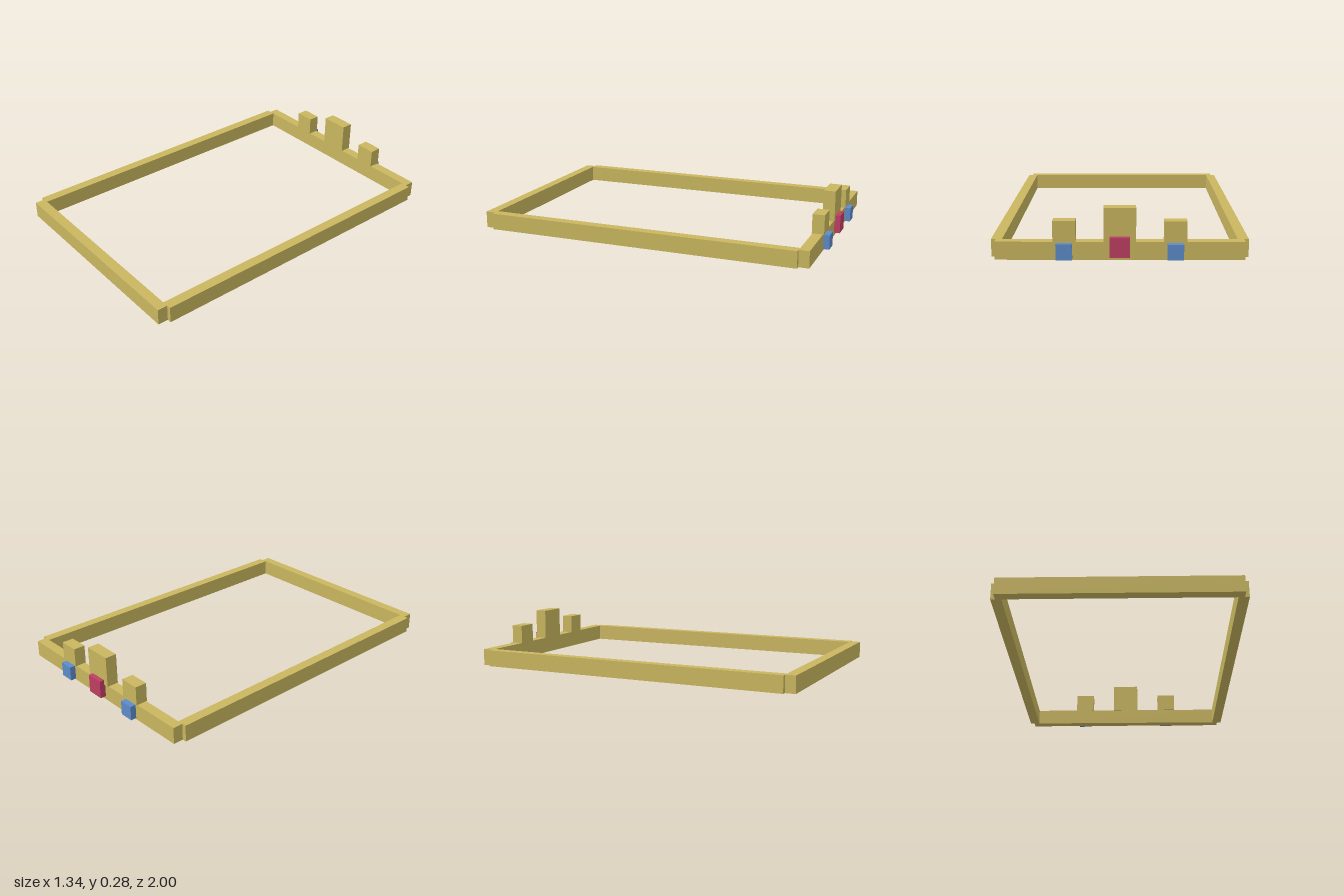
import * as THREE from 'three';

export function createModel() {
  const model = new THREE.Group();
  const mat = (name, color) => new THREE.MeshStandardMaterial({ name, color });
  const gold = mat('gold', 0xc9b65f);
  const blue = mat('blue gem', 0x5c8bc9);
  const red = mat('red gem', 0xbe3e63);

  // Box given by its extents along each axis
  function box(name, material, [x0, x1], [y0, y1], [z0, z1]) {
    const mesh = new THREE.Mesh(new THREE.BoxGeometry(x1 - x0, y1 - y0, z1 - z0), material);
    mesh.position.set((x0 + x1) / 2, (y0 + y1) / 2, (z0 + z1) / 2);
    mesh.name = name;
    model.add(mesh);
  }

  // Rectangular band: front and back bars, with side bars set slightly outward
  const H = 0.096;
  box('frontBar', gold, [-0.646, 0.646], [0, H], [0.941, 1]);
  box('backBar', gold, [-0.646, 0.646], [0, H], [-0.966, -0.907]);
  for (const [side, s] of [['left', 1], ['right', -1]]) {
    const span = (a, b) => (s > 0 ? [a, b] : [-b, -a]);
    box(side + 'Bar', gold, span(0.613, 0.671), [0, H], [-0.907, 0.941]);
    // Small crest block with its blue gem
    box(side + 'Crest', gold, span(0.228, 0.346), [H, 0.206], [-0.972, -0.903]);
    box(side + 'Gem', blue, span(0.245, 0.329), [0.007, 0.09], [-1, -0.96]);
  }

  // Tall central crest with its red gem
  box('centreCrest', gold, [-0.084, 0.084], [H, 0.275], [-0.972, -0.903]);
  box('centreGem', red, [-0.052, 0.052], [0.02, 0.125], [-1, -0.96]);

  return model;
}
